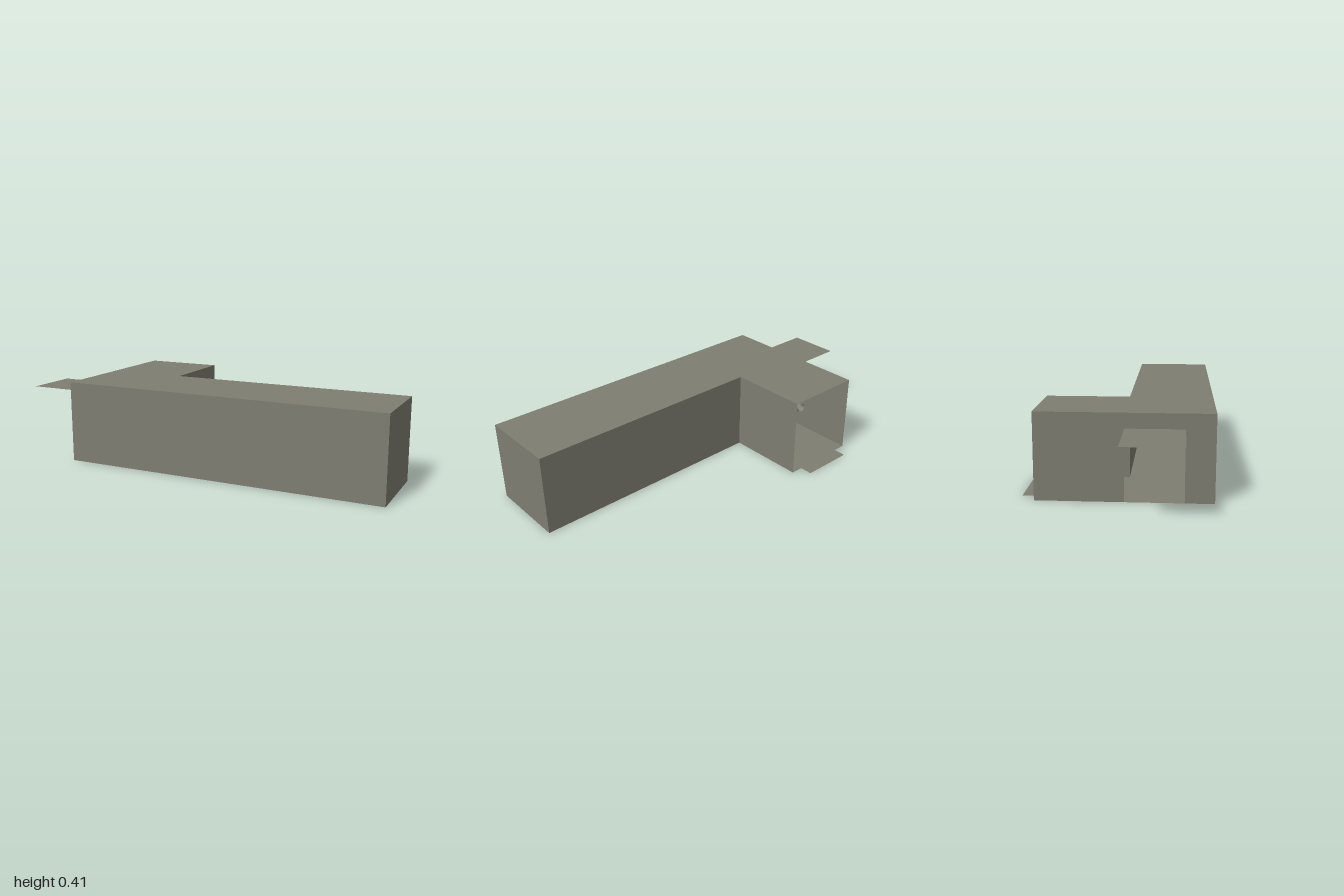
import * as THREE from 'three';

const metal = new THREE.MeshStandardMaterial({ color: 0x7d7d71, side: THREE.DoubleSide });
metal.name = 'grey metal';

// Plan and height of the sheet duct
const H = 0.415;
const LEFT = -0.655, INNER = -0.245, END = 1.0;
const BACK = -0.38, MID = 0.035, FRONT = 0.447;
const CUT_Z = 0.31, CUT_Y = 0.343;

// Flat sheet from an outline, with a rule that places each outline point in space
function sheet(name, points, place) {
  const shape = new THREE.Shape(points.map(([a, b]) => new THREE.Vector2(a, b)));
  const geometry = new THREE.ShapeGeometry(shape);
  const p = geometry.attributes.position;
  for (let i = 0; i < p.count; i++) p.setXYZ(i, ...place(p.getX(i), p.getY(i)));
  geometry.computeVertexNormals();
  // Turn the sheet so its front faces the outside of the duct
  const mesh = new THREE.Mesh(geometry, metal);
  mesh.name = name;
  return mesh;
}

const rect = (a0, a1, b0, b1) => [[a0, b0], [a1, b0], [a1, b1], [a0, b1]];
const onY = (y) => (x, z) => [x, y, z];
const onZ = (z) => (x, y) => [x, y, z];
const onX = (x) => (z, y) => [x, y, z];

export function createModel() {
  const model = new THREE.Group();
  model.name = 'duct';

  // L-shaped roof and floor; the floor carries the joining tab
  const plan = [[LEFT, FRONT], [END, FRONT], [END, MID], [INNER, MID], [INNER, BACK]];
  const tab = [[-0.31, BACK], [-0.31, -0.447], [-0.587, -0.447], [-0.587, BACK]];
  model.add(sheet('roof', [...plan, [LEFT, BACK]], onY(H)));
  model.add(sheet('floorWithTab', [...plan, ...tab, [LEFT, BACK]], onY(0)));

  // Long arm walls
  model.add(sheet('frontWall', rect(LEFT, END, 0, H), onZ(FRONT)));
  model.add(sheet('backWall', rect(INNER, END, 0, H), onZ(MID)));
  model.add(sheet('endWall', rect(MID, FRONT, 0, H), onX(END)));

  // Short arm walls; the outer one has a doorway cut up from the floor
  model.add(sheet('innerWall', rect(BACK, MID, 0, H), onX(INNER)));
  model.add(sheet('outerWall', [
    [BACK, 0], [MID, 0], [MID, CUT_Y], [CUT_Z, CUT_Y],
    [CUT_Z, 0], [FRONT, 0], [FRONT, H], [BACK, H],
  ], onX(LEFT)));

  // Cut-out panel folded outward
  model.add(sheet('foldedFlap', rect(-1, LEFT, MID, CUT_Z), onY(CUT_Y)));

  // Small sleeve in the upper corner of the open end
  const sleeve = new THREE.Mesh(new THREE.CylinderGeometry(0.022, 0.022, 0.03, 16, 1, true), metal);
  sleeve.name = 'cornerSleeve';
  sleeve.rotation.x = Math.PI / 2;
  sleeve.position.set(-0.28, 0.38, BACK + 0.016);
  model.add(sleeve);

  return model;
}
